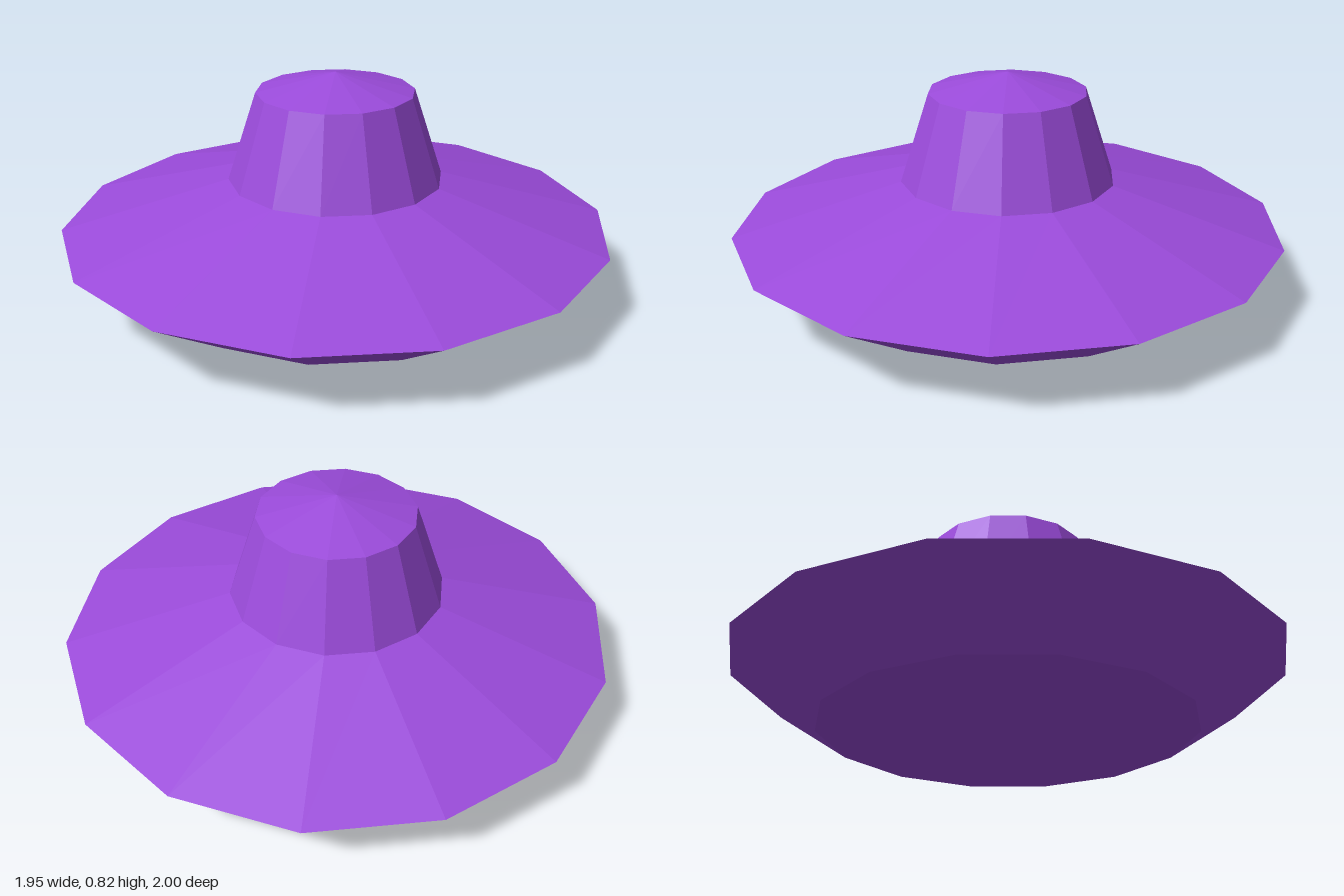
import * as THREE from 'three';

const SIDES = 14;

export function createModel() {
  const model = new THREE.Group();
  model.name = 'flyingSaucer';

  const purple = new THREE.MeshStandardMaterial({ color: 0x9b4bdb, flatShading: true });
  purple.name = 'purple';

  // Each band is an open faceted ring: name, bottom radius, bottom y, top radius, top y
  const bands = [
    ['bellyCone', 0, 0, 0.68, 0.043],
    ['lowerHull', 0.68, 0.043, 1, 0.256],
    ['upperHull', 1, 0.256, 0.39, 0.434],
    ['cabinWall', 0.39, 0.434, 0.285, 0.756],
    ['cabinRoof', 0.285, 0.756, 0, 0.825],
  ];

  for (const [name, rBottom, yBottom, rTop, yTop] of bands) {
    const geometry = new THREE.CylinderGeometry(rTop, rBottom, yTop - yBottom, SIDES, 1, true);
    const mesh = new THREE.Mesh(geometry, purple);
    mesh.name = name;
    mesh.position.y = (yBottom + yTop) / 2;
    model.add(mesh);
  }

  return model;
}
